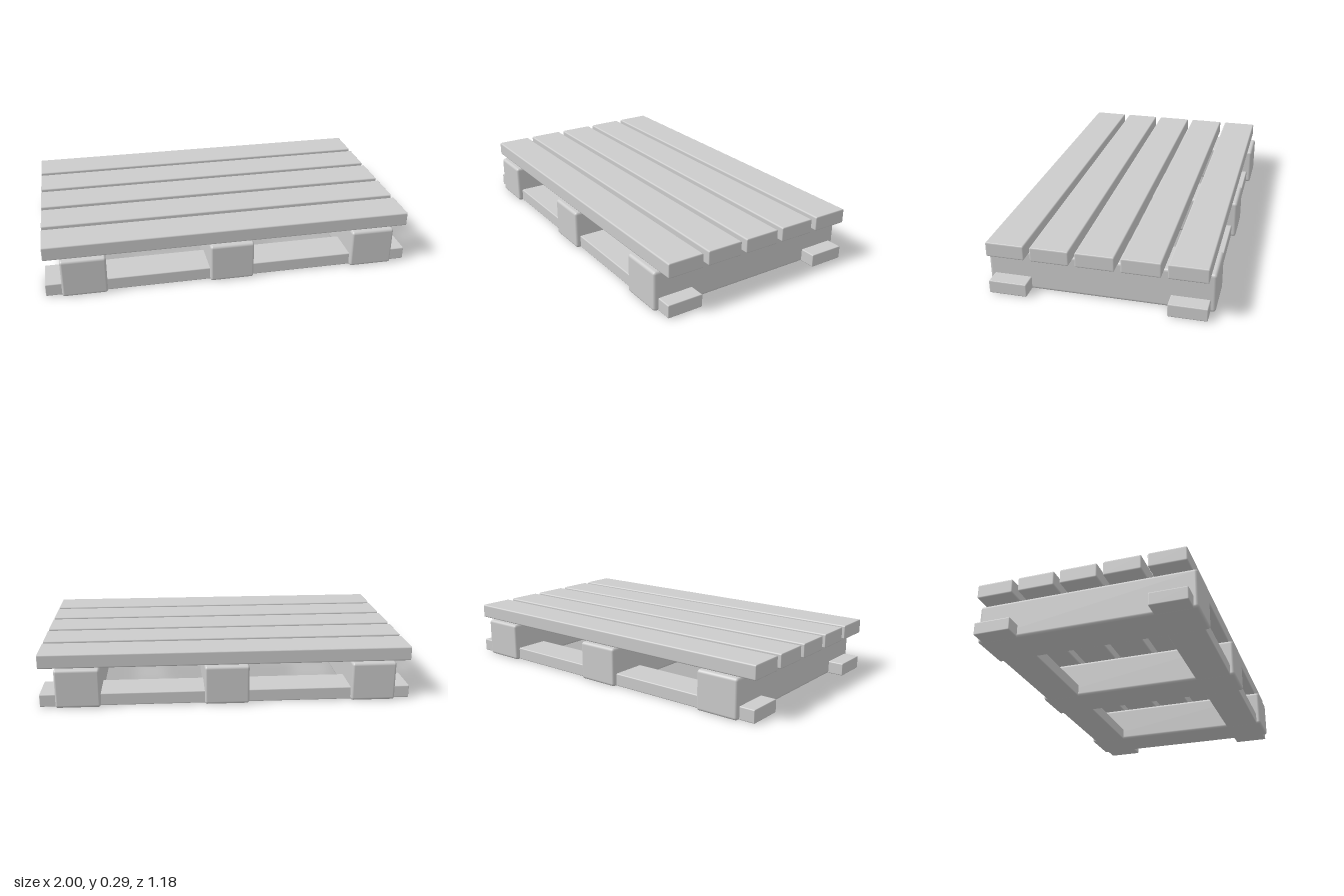
import * as THREE from 'three';
import { RoundedBoxGeometry } from 'three/addons/geometries/RoundedBoxGeometry.js';

export function createModel() {
  const pallet = new THREE.Group();
  pallet.name = 'pallet';

  const wood = new THREE.MeshStandardMaterial({ color: 0xcccccc });
  wood.name = 'pale grey wood';

  // Softened timber, standing on height y; squeeze narrows the rounding along x
  function timber(name, w, h, d, radius, squeeze, x, y, z) {
    const geometry = new RoundedBoxGeometry(w / squeeze, h, d, 3, radius);
    geometry.scale(squeeze, 1, 1);
    const mesh = new THREE.Mesh(geometry, wood);
    mesh.name = name;
    mesh.position.set(x, y + h / 2, z);
    pallet.add(mesh);
  }

  // Three beams running front to back
  for (const x of [-0.795, 0, 0.795]) {
    timber('beam', 0.24, 0.215, 1.18, 0.016, 0.8, x, 0, 0);
  }

  // Five deck boards across the top
  for (let i = -2; i <= 2; i++) {
    timber('deckBoard', 2, 0.078, 0.2, 0.008, 0.5, 0, 0.215, i * 0.232);
  }

  // Two base boards let into the beams
  for (const side of [-1, 1]) {
    timber('baseBoard', 2, 0.07, 0.2, 0.006, 0.5, 0, 0.001, side * 0.464);
  }

  return pallet;
}
